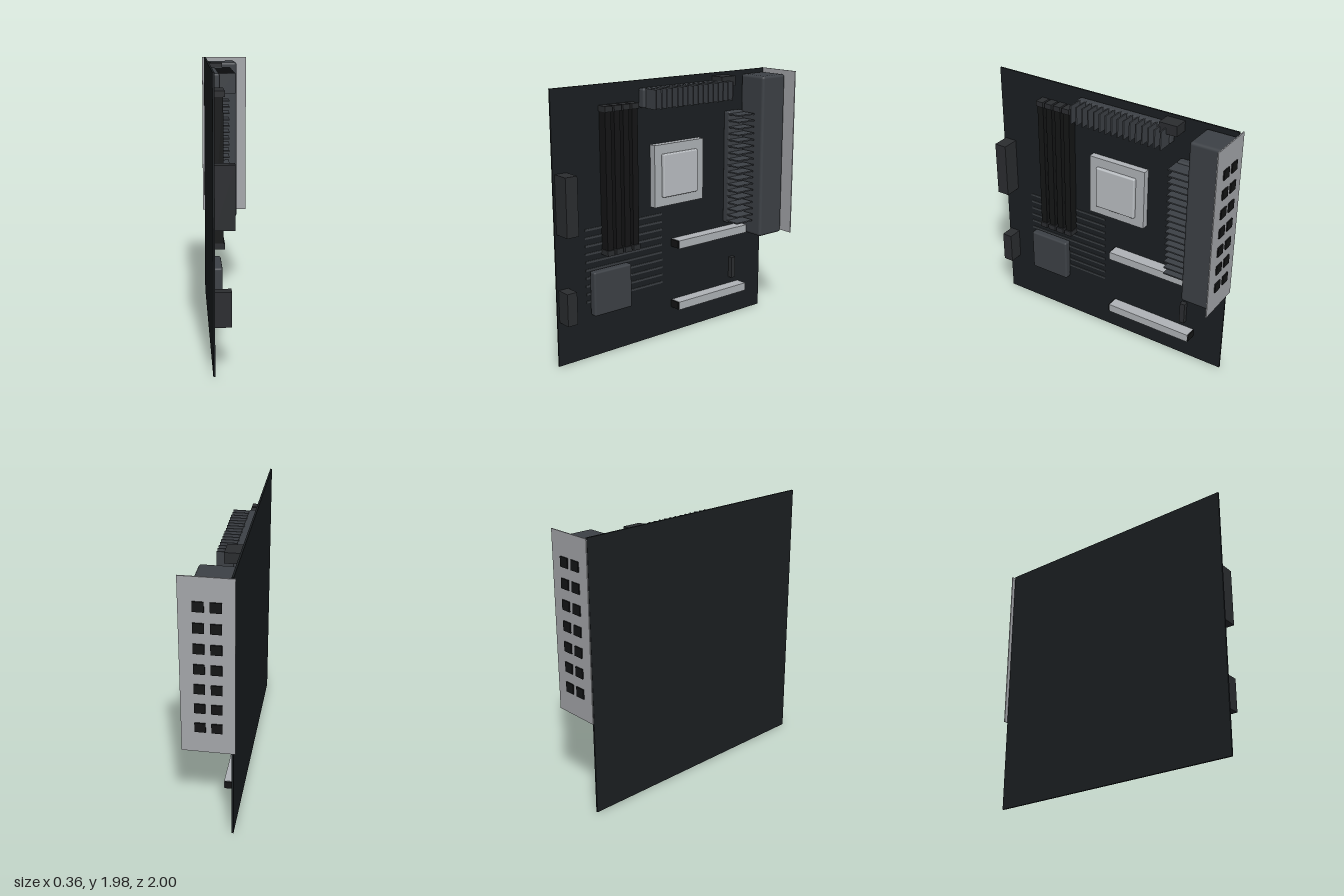
import * as THREE from 'three';
import { RoundedBoxGeometry } from 'three/addons/geometries/RoundedBoxGeometry.js';

const FACE = -0.152; // x of the board's component side
const paint = (color) => new THREE.MeshStandardMaterial({ color });

export function createModel() {
  const model = new THREE.Group();
  const board = paint(0x1b1f22), black = paint(0x141516), dark = paint(0x2b2d30);
  const metal = paint(0x3d4146), trace = paint(0x3a3e42);
  const silver = paint(0xb0b4b8), lid = paint(0xbcc0c4), steel = paint(0xa6a8ac);

  // Box from its limits on each axis; a radius rounds the edges
  function block(name, material, [x0, x1], [y0, y1], [z0, z1], radius = 0, parent = model) {
    const size = [x1 - x0, y1 - y0, z1 - z0];
    const geometry = radius ? new RoundedBoxGeometry(...size, 3, radius) : new THREE.BoxGeometry(...size);
    const mesh = new THREE.Mesh(geometry, material);
    mesh.name = name;
    mesh.position.set((x0 + x1) / 2, (y0 + y1) / 2, (z0 + z1) / 2);
    parent.add(mesh);
    return mesh;
  }
  function group(name) {
    const g = new THREE.Group();
    g.name = name;
    model.add(g);
    return g;
  }

  block('circuitBoard', board, [-0.165, FACE], [0, 1.975], [-0.97, 1]);

  // Processor socket and heat spreader
  block('processorSocket', silver, [FACE, -0.1], [1.035, 1.5], [-0.3, 0.165]);
  block('processorLid', lid, [-0.11, -0.075], [1.105, 1.43], [-0.23, 0.1], 0.01);

  // Memory slots with a clip at each end
  const memory = group('memorySlots');
  for (let i = 0; i < 4; i++) {
    const z = 0.585 - i * 0.0765;
    block('memorySlot', black, [FACE, -0.08], [0.765, 1.825], [z - 0.025, z + 0.025], 0, memory);
    for (const y of [0.78, 1.81]) {
      block('memoryClip', dark, [FACE, -0.07], [y - 0.02, y + 0.02], [z - 0.03, z + 0.03], 0, memory);
    }
  }

  // Finned heatsink along the top
  const topSink = group('topHeatsink');
  block('heatsinkBase', metal, [FACE, -0.088], [1.78, 1.92], [-0.5, 0.27], 0.015, topSink);
  for (let i = 0; i < 16; i++) {
    const z = -0.485 + i * 0.0485;
    block('heatsinkFin', metal, [-0.1, 0.022], [1.78, 1.92], [z - 0.005, z + 0.005], 0, topSink);
  }

  // Finned heatsink beside the port cover
  const sideSink = group('sideHeatsink');
  block('heatsinkBase', metal, [FACE, -0.088], [0.79, 1.675], [-0.71, -0.555], 0.015, sideSink);
  for (let i = 0; i < 18; i++) {
    const y = 0.81 + i * 0.0497;
    block('heatsinkFin', metal, [-0.1, 0.022], [y - 0.005, y + 0.005], [-0.715, -0.55], 0, sideSink);
  }

  // Port cover and rear plate with its dark openings
  block('portCover', metal, [FACE, 0.09], [0.685, 1.945], [-0.972, -0.735], 0.022);
  block('rearPlate', steel, [-0.18, 0.18], [0.695, 1.975], [-0.991, -0.983]);
  const ports = group('portOpenings');
  for (let row = 0; row < 7; row++) {
    for (const x of [-0.06, 0.052]) {
      const y = 0.89 + row * 0.1475;
      block('portOpening', black, [x - 0.037, x + 0.037], [y - 0.035, y + 0.035], [-1, -0.99], 0, ports);
    }
  }

  // Expansion slots: dark body inside a metal sleeve
  for (const y of [0.2, 0.69]) {
    const slot = group('expansionSlot');
    block('slotBody', black, [FACE, -0.067], [y + 0.003, y + 0.06], [-0.737, -0.027], 0, slot);
    block('slotSleeve', silver, [FACE, -0.062], [y, y + 0.063], [-0.73, -0.037], 0, slot);
  }

  // Chipset cooler over raised stripes
  block('chipsetCooler', metal, [FACE, -0.09], [0.325, 0.657], [0.393, 0.723], 0.014);
  const stripes = group('boardStripes');
  for (let i = 0; i < 10; i++) {
    const y = 0.427 + i * 0.0595;
    block('boardStripe', trace, [FACE, -0.147], [y - 0.008, y + 0.008], [0.062, 0.755], 0, stripes);
  }

  // Edge connectors and small headers
  block('powerConnector', dark, [FACE, -0.02], [0.975, 1.397], [0.89, 0.985]);
  block('driveConnector', dark, [FACE, -0.042], [0.332, 0.57], [0.905, 0.985]);
  block('topPowerConnector', dark, [FACE, -0.042], [1.877, 1.953], [-0.572, -0.432]);
  block('smallHeader', dark, [FACE, -0.115], [0.315, 0.485], [-0.667, -0.627]);

  return model;
}
